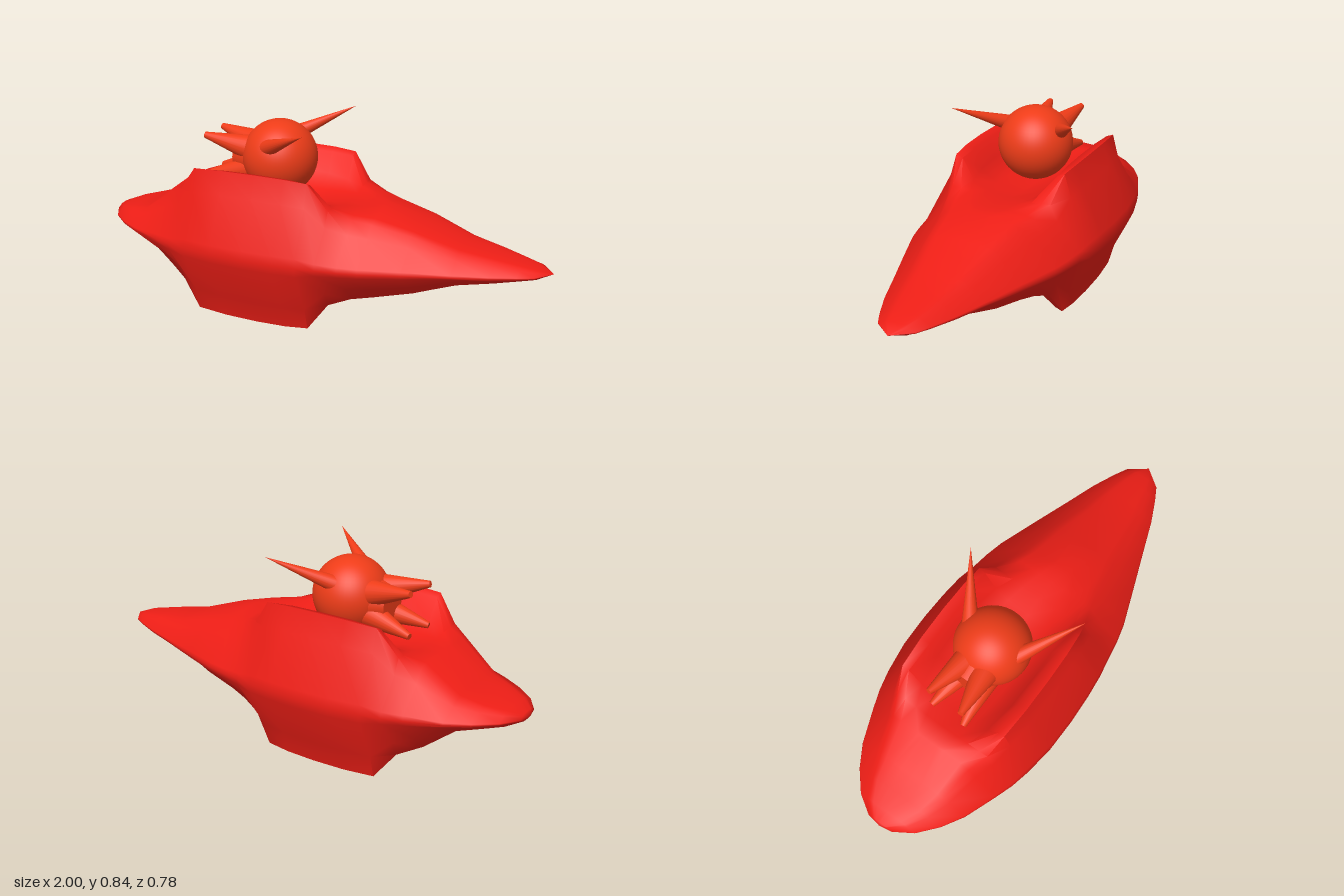
import * as THREE from 'three';
import { toCreasedNormals } from 'three/addons/utils/BufferGeometryUtils.js';

const MID = 0.328; // height of the hull's widest line

const red = new THREE.MeshStandardMaterial({ color: 0xee1e16, side: THREE.DoubleSide });
const orange = new THREE.MeshStandardMaterial({ color: 0xee3c18 });
const khaki = new THREE.MeshStandardMaterial({ color: 0xf4de80, side: THREE.DoubleSide });

// Hull stations: x, half width, ridge z/height, inner ridge z/height, bowl rim z/height, centre height
const STATIONS = [
  [-1.0, 0.0, 0.0, 0.0, 0.0, 0.0, 0.0, 0.0, 0.0],
  [-0.99, 0.06, 0.035, 0.014, 0.03, 0.015, 0.02, 0.016, 0.017],
  [-0.94, 0.14, 0.09, 0.028, 0.07, 0.03, 0.05, 0.032, 0.034],
  [-0.86, 0.21, 0.13, 0.044, 0.11, 0.048, 0.08, 0.051, 0.053],
  [-0.77, 0.265, 0.16, 0.066, 0.13, 0.072, 0.09, 0.076, 0.078],
  [-0.63, 0.32, 0.19, 0.165, 0.15, 0.178, 0.06, 0.186, 0.188],
  [-0.55, 0.348, 0.225, 0.205, 0.185, 0.202, 0.13, 0.197, 0.182],
  [-0.465, 0.366, 0.25, 0.315, 0.22, 0.303, 0.163, 0.218, 0.165],
  [-0.33, 0.386, 0.259, 0.322, 0.218, 0.311, 0.185, 0.226, 0.145],
  [-0.18, 0.39, 0.261, 0.324, 0.217, 0.312, 0.19, 0.228, 0.14],
  [-0.05, 0.385, 0.258, 0.322, 0.218, 0.311, 0.185, 0.224, 0.148],
  [0.05, 0.376, 0.25, 0.315, 0.22, 0.303, 0.168, 0.214, 0.165],
  [0.13, 0.362, 0.225, 0.205, 0.185, 0.203, 0.14, 0.199, 0.18],
  [0.22, 0.348, 0.198, 0.172, 0.165, 0.182, 0.1, 0.189, 0.187],
  [0.3, 0.329, 0.175, 0.156, 0.14, 0.172, 0.05, 0.187, 0.19],
  [0.46, 0.272, 0.15, 0.122, 0.12, 0.133, 0.08, 0.14, 0.146],
].concat([
  // pointed nose
  [0.64, 0.207, 0.082], [0.78, 0.157, 0.055], [0.88, 0.112, 0.034], [0.94, 0.08, 0.022], [1, 0, 0],
].map(([x, w, h]) => [x, w, w * 0.55, h * 0.82, w * 0.43, h * 0.91, w * 0.3, h * 0.96, h]));

// Closed cross-section, mirrored in z; the underside mirrors the top but has a deeper bowl
function section([x, w, rz, ry, qz, qy, wz, wy, cy]) {
  const rim = [w * 0.988, ry * 0.12];
  const profile = (centre) => [
    [w, 0], rim,
    [rim[0] + (rz - rim[0]) * 0.76, rim[1] + (ry - rim[1]) * 0.65],
    [rz, ry], [qz, qy], [wz, wy],
    [wz * 0.6, wy + (centre - wy) * 0.7], [0, centre],
  ];
  const top = profile(cy);
  const bottom = profile(cy - 0.06 * Math.max(0, 1 - ((x + 0.165) / 0.45) ** 2));
  return [
    ...top.map(([z, h]) => [x, MID + h, z]),
    ...top.slice(0, 7).reverse().map(([z, h]) => [x, MID + h, -z]),
    ...bottom.slice(1).map(([z, h]) => [x, MID - h, -z]),
    ...bottom.slice(1, 7).reverse().map(([z, h]) => [x, MID - h, z]),
  ];
}

// Skin over the sections, keeping only the cells that pass the filter
function skin(keep) {
  const rings = STATIONS.map(section);
  const n = rings[0].length;
  const index = [];
  for (let i = 0; i < rings.length - 1; i++) {
    for (let j = 0; j < n; j++) {
      if (!keep(i, j)) continue;
      const a = i * n + j, b = i * n + (j + 1) % n;
      index.push(a, a + n, b, b, a + n, b + n);
    }
  }
  const geo = new THREE.BufferGeometry();
  geo.setAttribute('position', new THREE.Float32BufferAttribute(rings.flat(2), 3));
  geo.setIndex(index);
  return toCreasedNormals(geo, 1.15);
}

// Tapered round bar between two points
function bar(from, to, r0, r1, material, name) {
  const a = new THREE.Vector3(...from), b = new THREE.Vector3(...to);
  const dir = b.clone().sub(a);
  const mesh = new THREE.Mesh(new THREE.CylinderGeometry(r1, r0, dir.length(), 20), material);
  mesh.position.copy(a).add(b).multiplyScalar(0.5);
  mesh.quaternion.setFromUnitVectors(new THREE.Vector3(0, 1, 0), dir.normalize());
  mesh.name = name;
  return mesh;
}

export function createModel() {
  const model = new THREE.Group();
  model.name = 'finnedCraft';

  // Hull with twin fins above and below, and the pale lining of the lower bowl
  const isBelly = (i, j) => i >= 5 && i < 14 && j >= 19 && j <= 22;
  const hull = new THREE.Mesh(skin((i, j) => !isBelly(i, j)), red);
  hull.name = 'hull';
  const belly = new THREE.Mesh(skin(isBelly), khaki);
  belly.name = 'bellyPanel';
  model.add(hull, belly);

  // Ball in the upper bowl
  const head = new THREE.Group();
  head.name = 'head';
  const ball = new THREE.Mesh(new THREE.SphereGeometry(0.16, 48, 32), orange);
  ball.position.set(-0.193, 0.66, -0.003);
  ball.name = 'ball';
  head.add(ball);

  // Swept horns, and prongs on a short mount
  head.add(bar([-0.3, 0.65, 0], [-0.385, 0.65, 0], 0.1, 0.07, orange, 'prongMount'));
  for (const s of [1, -1]) {
    head.add(bar([-0.21, 0.717, s * 0.1], [0.04, 0.84, s * 0.275], 0.038, 0, orange, 'horn'));
    for (const v of [1, -1]) {
      head.add(bar([-0.29, 0.65 + v * 0.04, s * 0.04], [-0.51, 0.65 + v * 0.087, s * 0.077],
        0.06, 0.013, orange, 'prong'));
    }
  }
  model.add(head);
  return model;
}
